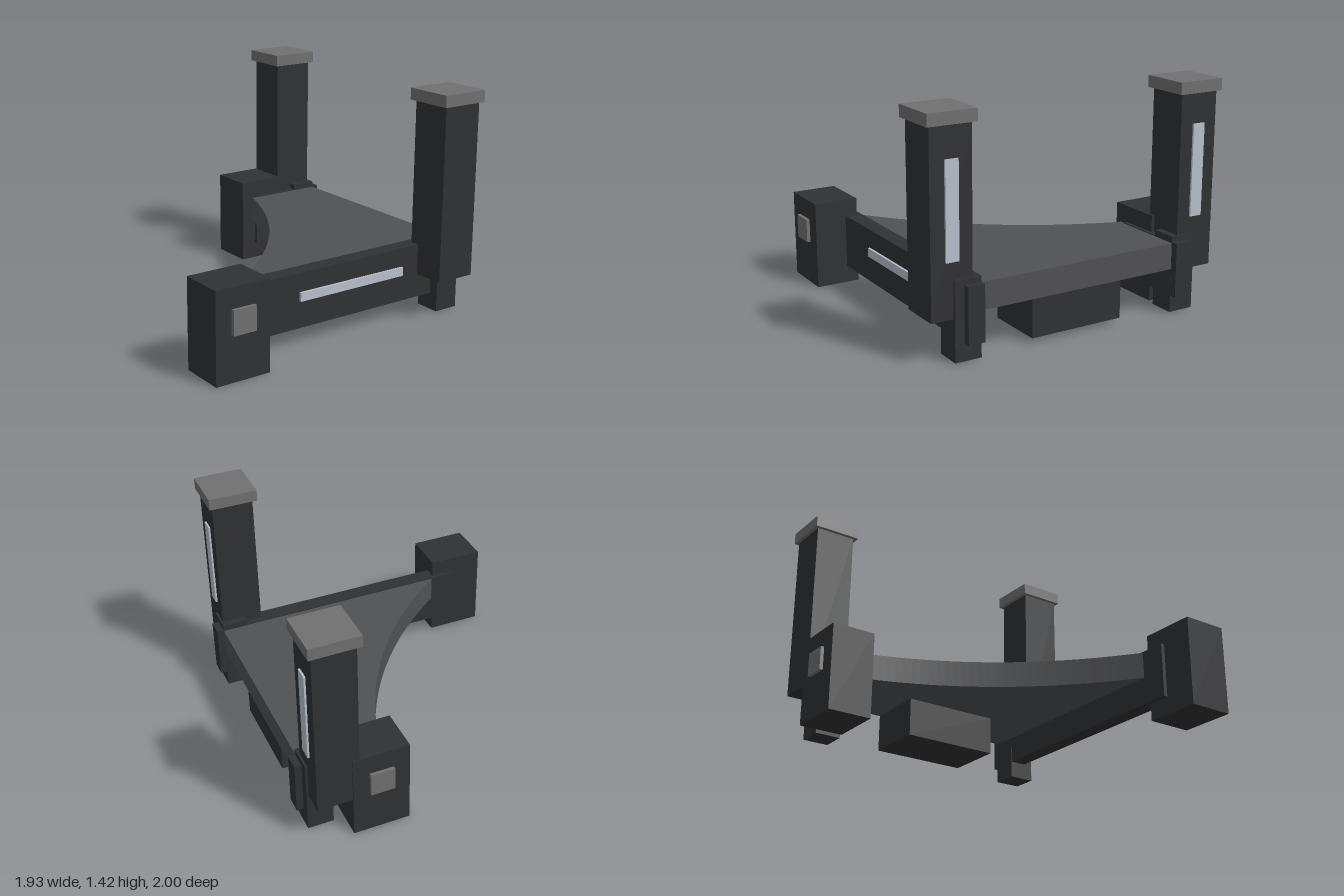
import * as THREE from 'three';

const mat = (color) => new THREE.MeshStandardMaterial({ color });

export function createModel() {
  const group = new THREE.Group();
  const dark = mat(0x303133), deckGrey = mat(0x505153), capGrey = mat(0x707070), pale = mat(0xb8c0cc);

  // Box given by its extents on each axis
  function box(name, material, [x0, x1], [y0, y1], [z0, z1], parent = group) {
    const mesh = new THREE.Mesh(new THREE.BoxGeometry(x1 - x0, y1 - y0, Math.abs(z1 - z0)), material);
    mesh.position.set((x0 + x1) / 2, (y0 + y1) / 2, (z0 + z1) / 2);
    mesh.name = name;
    parent.add(mesh);
  }

  // Deck with a concave curved edge, drawn in plan (shape y = -z)
  const plan = new THREE.Shape();
  plan.moveTo(-0.6, -0.67);
  plan.lineTo(0.92, -0.67);
  plan.lineTo(0.92, 0.675);
  plan.lineTo(0.405, 0.675);
  plan.quadraticCurveTo(0.15, -0.13, -0.6, -0.67);
  const deckGeo = new THREE.ExtrudeGeometry(plan, { depth: 0.165, bevelEnabled: false, curveSegments: 32 });
  deckGeo.rotateX(-Math.PI / 2);
  const deck = new THREE.Mesh(deckGeo, deckGrey);
  deck.position.y = 0.28;
  deck.name = 'deck';
  group.add(deck);

  // Box slung under the deck
  box('underBox', dark, [0.51, 0.89], [0.03, 0.27], [-0.31, 0.31]);

  // Matching front and back ends; the front one reaches further out
  for (const end of [
    { name: 'front', s: 1, blockX: -0.97, beamX: -0.76 },
    { name: 'back', s: -1, blockX: 0.335, beamX: 0.44 },
  ]) {
    const { s, blockX, beamX } = end;
    const part = new THREE.Group();
    part.name = end.name + 'End';
    group.add(part);
    const add = (name, m, x, y, z) => box(end.name + name, m, x, y, z.map((v) => v * s), part);

    add('Beam', dark, [beamX, 0.965], [0.11, 0.45], [0.667, 0.772]);
    add('Block', dark, [blockX, blockX + 0.355], [0, 0.555], [0.692, 0.978]);
    add('BlockPlaque', capGrey, [blockX + 0.102, blockX + 0.252], [0.28, 0.43], [0.97, 1]);
    add('Foot', dark, [0.76, 0.922], [0.005, 0.485], [0.665, 0.833]);
    add('Post', dark, [0.645, 0.908], [0.26, 1.35], [0.712, 0.972]);
    add('PostCap', capGrey, [0.62, 0.93], [1.347, 1.42], [0.687, 0.994]);
    add('PostLight', pale, [0.9, 0.92], [0.59, 1.16], [0.8, 0.882]);
  }

  // Light strip along the front beam
  box('frontLightStrip', pale, [-0.26, 0.515], [0.278, 0.333], [0.765, 0.787]);

  return group;
}
